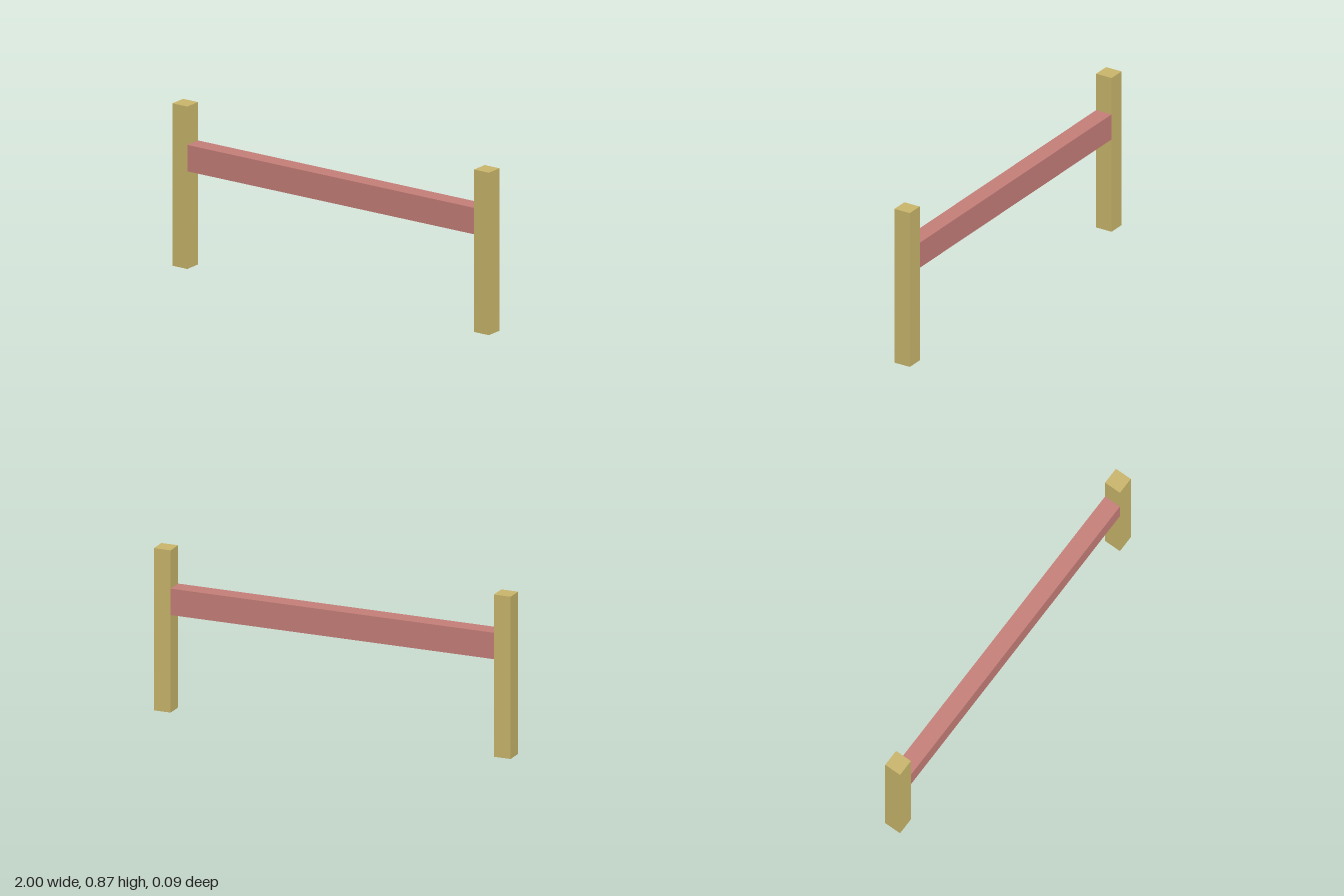
import * as THREE from 'three';

export function createModel() {
  const group = new THREE.Group();
  const postPaint = new THREE.MeshStandardMaterial({ color: 0xc8b56b });
  postPaint.name = 'sand yellow';
  const railPaint = new THREE.MeshStandardMaterial({ color: 0xc57e78 });
  railPaint.name = 'dusty red';

  const thickness = 0.094, postHeight = 0.873;
  const railBottom = 0.525, railTop = 0.667;

  function addBox(name, material, width, height, x, y) {
    const mesh = new THREE.Mesh(new THREE.BoxGeometry(width, height, thickness), material);
    mesh.name = name;
    mesh.position.set(x, y, 0);
    group.add(mesh);
  }

  // Upright posts, one at each end
  for (const side of [-1, 1]) {
    addBox(side > 0 ? 'leftPost' : 'rightPost', postPaint,
      thickness, postHeight, side * (1 - thickness / 2), postHeight / 2);
  }

  // Cross rail, fitted between the inner faces of the posts
  addBox('crossRail', railPaint, 2 - 2 * thickness, railTop - railBottom,
    0, (railBottom + railTop) / 2);

  return group;
}
